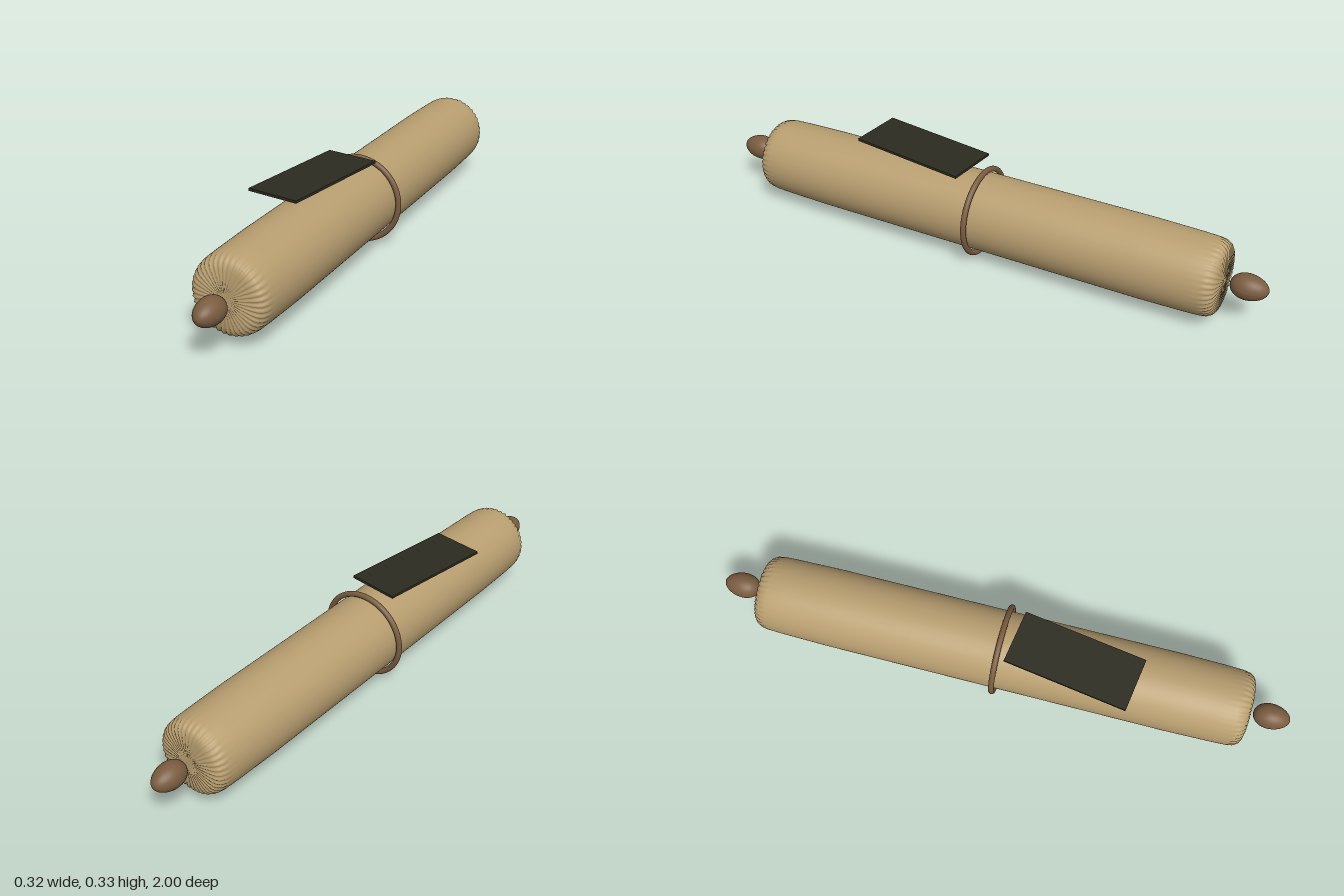
import * as THREE from 'three';
import { mergeVertices } from 'three/addons/utils/BufferGeometryUtils.js';

const AXIS_Y = 0.16;
const PLEATS = 40;

const mat = (name, color) => {
  const m = new THREE.MeshStandardMaterial({ color });
  m.name = name;
  return m;
};

function mesh(name, geometry, material, y = AXIS_Y) {
  const m = new THREE.Mesh(geometry, material);
  m.name = name;
  m.position.y = y;
  return m;
}

// Long wrapped roll with gathered, pleated ends
function rollGeometry() {
  const half = [[0.135, 0], [0.135, 0.3], [0.135, 0.6], [0.132, 0.76], [0.13, 0.81], [0.125, 0.83],
    [0.117, 0.844], [0.106, 0.852], [0.09, 0.856], [0.065, 0.859], [0.035, 0.861], [0, 0.862]];
  const profile = [
    ...half.slice(1).reverse().map(([r, z]) => new THREE.Vector2(r, -z)),
    ...half.map(([r, z]) => new THREE.Vector2(r, z)),
  ];
  let geo = new THREE.LatheGeometry(profile, PLEATS * 4);
  geo.deleteAttribute('uv');
  geo.deleteAttribute('normal');
  geo = mergeVertices(geo, 1e-5);
  const p = geo.attributes.position;
  for (let i = 0; i < p.count; i++) {
    const x = p.getX(i), y = p.getY(i), z = p.getZ(i);
    const r = Math.hypot(x, z);
    if (Math.abs(y) < 0.82 || r < 0.01) continue;
    // Pleats fade out towards the rim and the centre
    const wave = Math.cos(Math.atan2(x, z) * PLEATS) * Math.min(1, r / 0.09);
    const s = 1 + 0.012 * wave;
    p.setXYZ(i, x * s, y + Math.sign(y) * 0.002 * wave, z * s);
  }
  geo.rotateX(Math.PI / 2);
  geo.computeVertexNormals();
  return geo;
}

// Egg-shaped knob, blunt inside and narrower at the outer tip
function knobGeometry() {
  const geo = new THREE.SphereGeometry(1, 32, 24);
  const p = geo.attributes.position;
  for (let i = 0; i < p.count; i++) {
    const y = p.getY(i);
    const r = 0.043 * (1 - 0.1 * y);
    p.setXYZ(i, p.getX(i) * r, y * 0.0625, p.getZ(i) * r);
  }
  geo.rotateX(Math.PI / 2);
  geo.computeVertexNormals();
  return geo;
}

export function createModel() {
  const paper = mat('tan wrap', 0xb89e70);
  const brown = mat('brown trim', 0x7a5c40);
  const dark = mat('dark tag', 0x2c2b20);

  const group = new THREE.Group();
  group.name = 'wrappedRoll';
  group.add(mesh('roll', rollGeometry(), paper));

  // Band around the middle
  group.add(mesh('middleRing', new THREE.TorusGeometry(0.1485, 0.0098, 16, 96), brown));

  // Knobs floating just off both ends
  const knob = knobGeometry();
  for (const [name, side] of [['frontKnob', 1], ['backKnob', -1]]) {
    const k = mesh(name, knob, brown);
    k.position.z = side * 0.9375;
    if (side < 0) k.rotation.y = Math.PI;
    group.add(k);
  }

  // Flat tag resting askew above the roll
  const tag = mesh('tag', new THREE.BoxGeometry(0.187, 0.009, 0.428), dark, 0.3245);
  tag.position.x = -0.035;
  tag.position.z = 0.256;
  tag.rotation.y = -0.15;
  group.add(tag);

  return group;
}
